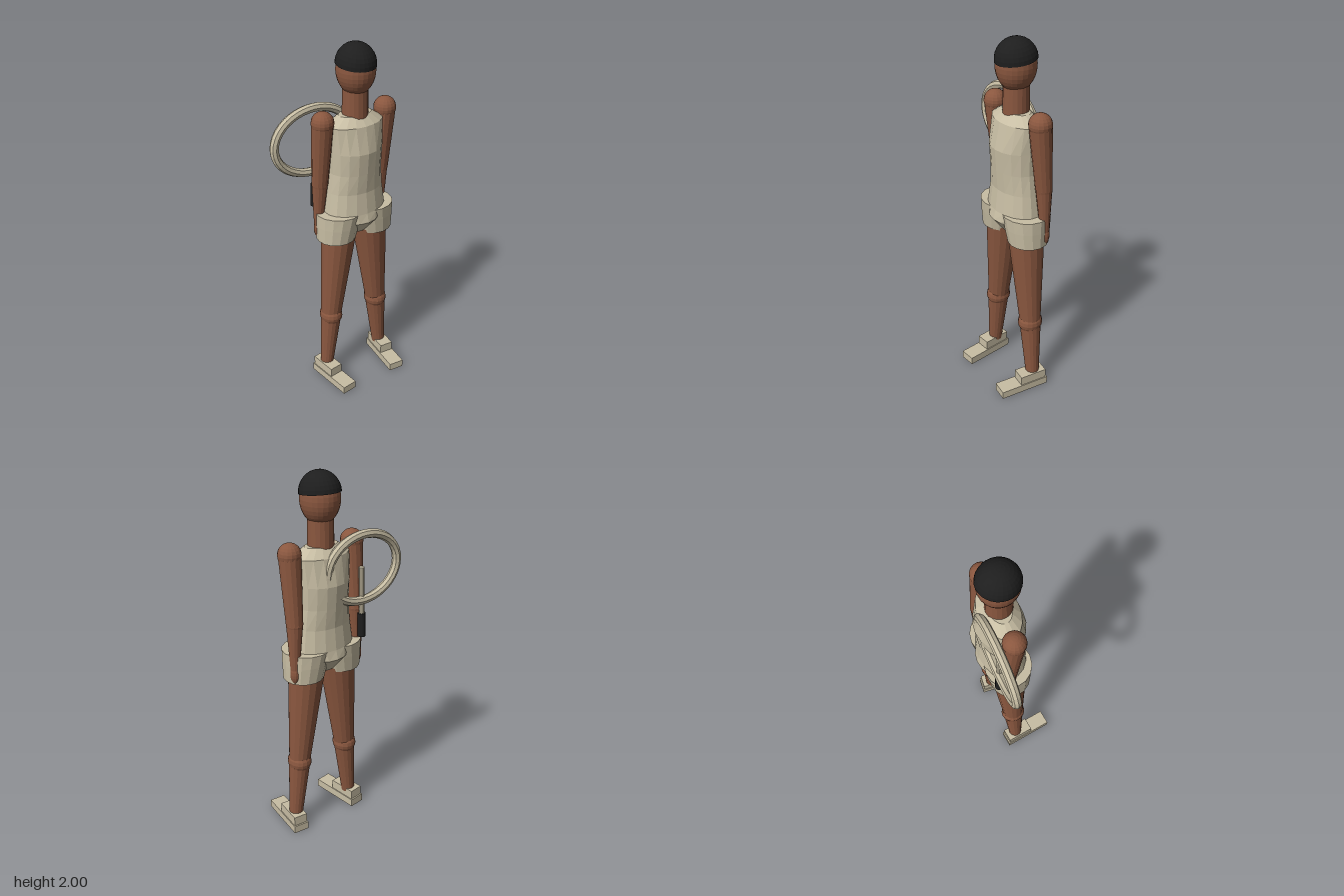
import * as THREE from 'three';

const material = (name, color) => {
  const m = new THREE.MeshStandardMaterial({ color });
  m.name = name;
  return m;
};

// facet a geometry so every face is flat
function flat(geometry) {
  const g = geometry.index ? geometry.toNonIndexed() : geometry;
  g.computeVertexNormals();
  return g;
}

// closed loft through horizontal ellipses [y, radiusX, radiusZ, centreX, centreZ], bottom to top
function loft(rings, sides) {
  const pos = [], idx = [];
  for (const [y, rx, rz, cx = 0, cz = 0] of rings) {
    for (let i = 0; i < sides; i++) {
      const a = (i / sides) * Math.PI * 2;
      pos.push(cx + rx * Math.sin(a), y, cz + rz * Math.cos(a));
    }
  }
  const last = rings.length - 1;
  for (let r = 0; r < last; r++) {
    for (let i = 0; i < sides; i++) {
      const a = r * sides + i, b = r * sides + ((i + 1) % sides);
      idx.push(a, b, b + sides, a, b + sides, a + sides);
    }
  }
  for (let i = 1; i < sides - 1; i++) {
    idx.push(0, i + 1, i);
    idx.push(last * sides, last * sides + i, last * sides + i + 1);
  }
  const g = new THREE.BufferGeometry();
  g.setAttribute('position', new THREE.Float32BufferAttribute(pos, 3));
  g.setIndex(idx);
  return flat(g);
}

// tapered rod between two points
function rod(from, to, r0, r1, sides = 14) {
  const a = new THREE.Vector3(...from), b = new THREE.Vector3(...to);
  const dir = b.clone().sub(a);
  const g = new THREE.CylinderGeometry(r1, r0, dir.length(), sides);
  g.applyQuaternion(new THREE.Quaternion().setFromUnitVectors(new THREE.Vector3(0, 1, 0), dir.normalize()));
  g.translate((a.x + b.x) / 2, (a.y + b.y) / 2, (a.z + b.z) / 2);
  return flat(g);
}

function ellipsoid(rx, ry, rz, x, y, z, w = 20, h = 14) {
  return flat(new THREE.SphereGeometry(1, w, h).scale(rx, ry, rz).translate(x, y, z));
}

export function createModel() {
  const skin = material('brown skin', 0x8a573f);
  const cloth = material('cream cloth', 0xc8bea4);
  const black = material('black', 0x1e1e1e);

  const model = new THREE.Group();
  model.name = 'athlete';
  const body = new THREE.Group();
  body.name = 'body';
  body.position.set(0.095, 0, -0.04);
  model.add(body);

  const add = (parent, name, geometry, mat) => {
    const mesh = new THREE.Mesh(geometry, mat);
    mesh.name = name;
    parent.add(mesh);
    return mesh;
  };

  // head, hair cap tilted towards the brow, neck
  add(body, 'head', ellipsoid(0.1, 0.133, 0.105, 0, 1.865, 0.005, 24, 18), skin);
  const dome = [new THREE.Vector2(0, 0)];
  for (let i = 0; i <= 8; i++) {
    const a = (i / 8) * Math.PI / 2;
    dome.push(new THREE.Vector2(i === 8 ? 0 : Math.cos(a), Math.sin(a)));
  }
  const hair = new THREE.LatheGeometry(dome, 28);
  hair.scale(0.103, 0.108, 0.109).rotateX(0.12).translate(0, 1.892, 0.005);
  add(body, 'hair', flat(hair), black);
  add(body, 'neck', rod([0, 1.58, 0.002], [0, 1.77, 0.002], 0.069, 0.066, 18), skin);

  // shirt and pelvis
  add(body, 'torso', loft([
    [0.942, 0.045, 0.03], [0.965, 0.06, 0.07], [1.05, 0.14, 0.138], [1.1, 0.18, 0.125],
    [1.22, 0.163, 0.112], [1.33, 0.15, 0.12], [1.45, 0.152, 0.129],
    [1.59, 0.161, 0.1], [1.635, 0.095, 0.058],
  ], 18), cloth);

  for (const side of [1, -1]) {
    const label = side > 0 ? 'left' : 'right';
    const limb = new THREE.Group();
    limb.name = label + 'Limbs';
    body.add(limb);

    // arm
    const elbow = [side * 0.195, 1.265, -0.036];
    const shoulder = [side * 0.193, 1.62, -0.004];
    const wrist = [side * 0.203, 1.02, -0.044];
    add(limb, 'shoulder', ellipsoid(0.06, 0.06, 0.06, ...shoulder, 16, 12), skin);
    add(limb, 'upperArm', rod(shoulder, elbow, 0.058, 0.044), skin);
    add(limb, 'elbow', ellipsoid(0.044, 0.044, 0.044, ...elbow, 14, 10), skin);
    add(limb, 'forearm', rod(elbow, wrist, 0.043, 0.024), skin);
    add(limb, 'hand', ellipsoid(0.026, 0.055, 0.027, side * 0.203, 0.995, -0.044, 12, 10), skin);

    // shorts leg
    add(limb, 'shortsLeg', loft([
      [0.94, 0.108, 0.108, side * 0.12, 0], [1.03, 0.122, 0.12, side * 0.108, 0],
      [1.1, 0.133, 0.127, side * 0.097, 0],
    ], 16), cloth);

    // leg
    const knee = [side * 0.157, 0.425, 0];
    add(limb, 'thigh', rod([side * 0.098, 1.0, 0], knee, 0.1, 0.058, 16), skin);
    add(limb, 'knee', ellipsoid(0.064, 0.064, 0.07, ...knee, 16, 10), skin);
    add(limb, 'shin', rod(knee, [side * 0.19, 0.08, 0], 0.06, 0.038, 16), skin);

    // shoe, toes turned slightly inwards
    const shoe = new THREE.Group();
    shoe.name = label + 'Shoe';
    shoe.position.set(side * 0.191, 0, 0.04);
    shoe.rotation.y = -side * 0.11;
    limb.add(shoe);
    add(shoe, 'sole', new THREE.BoxGeometry(0.088, 0.045, 0.288).translate(0, 0.0225, 0.033), cloth);
    add(shoe, 'shoeUpper', new THREE.BoxGeometry(0.078, 0.056, 0.157).translate(0, 0.071, -0.024), cloth);
  }

  // racket carried behind the right shoulder
  const racket = new THREE.Group();
  racket.name = 'racket';
  racket.position.set(-0.1, 1.495, -0.135);
  model.add(racket);
  const hoopPath = new THREE.EllipseCurve(0, 0, 0.228, 0.176, 0, Math.PI * 2);
  const points = hoopPath.getPoints(40).slice(0, -1).map((p) => new THREE.Vector3(p.x, p.y, 0));
  const hoop = new THREE.TubeGeometry(new THREE.CatmullRomCurve3(points, true), 40, 0.024, 8, true);
  add(racket, 'hoop', flat(hoop), cloth);
  add(racket, 'shaft', rod([0, -0.26, 0.005], [0, 0, 0.012], 0.015, 0.015, 10), cloth);
  add(racket, 'grip', rod([0, -0.38, 0.002], [0, -0.25, 0.006], 0.022, 0.022, 12), black);

  return model;
}
